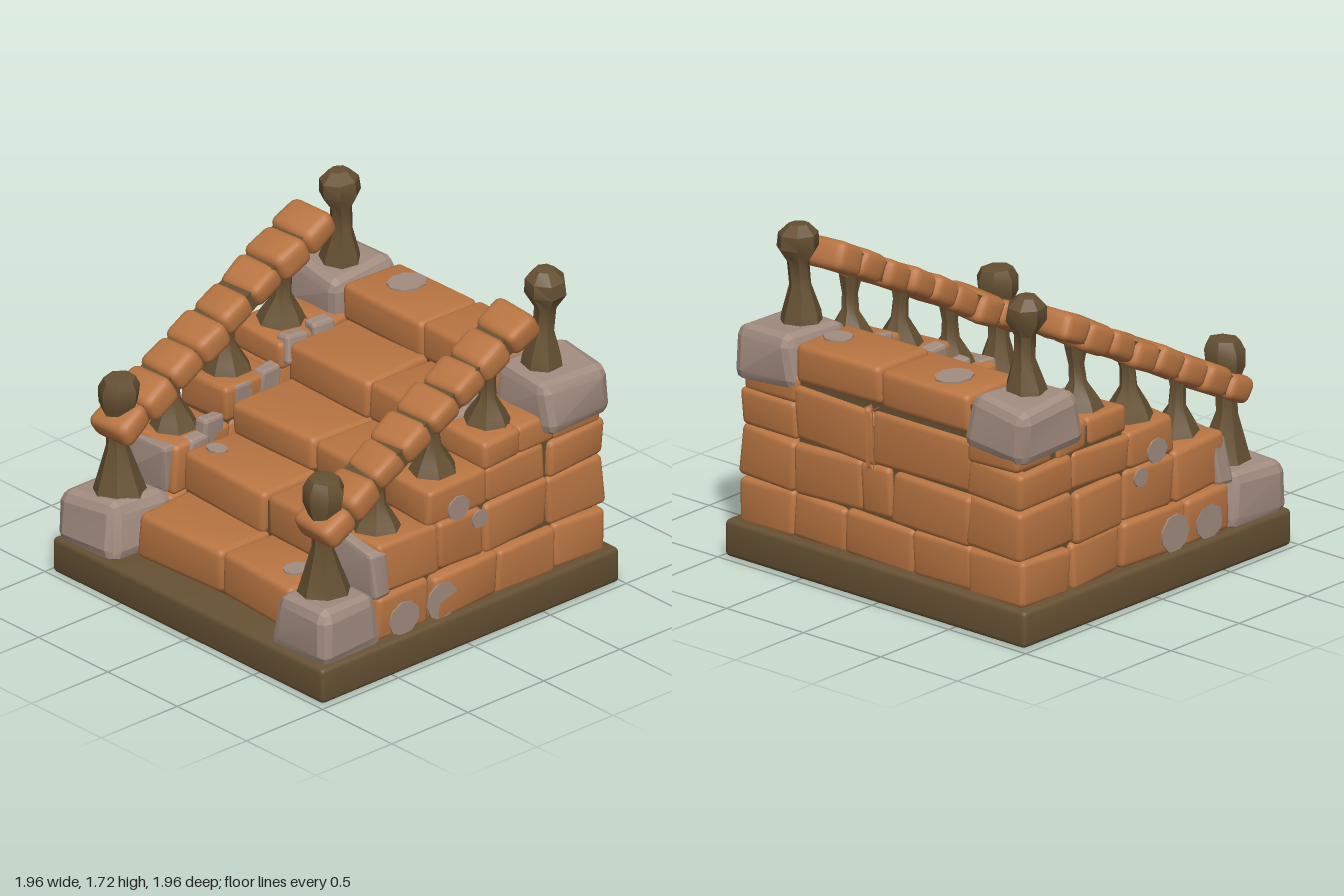
import * as THREE from 'three';
import { toCreasedNormals } from 'three/addons/utils/BufferGeometryUtils.js';
import { RoundedBoxGeometry } from 'three/addons/geometries/RoundedBoxGeometry.js';

export function createModel() {
  const model = new THREE.Group();
  model.name = 'stairway';

  const paint = (name, color) => {
    const m = new THREE.MeshStandardMaterial({ color });
    m.name = name;
    return m;
  };
  const wood = paint('orange wood', 0xb97542);
  const dark = paint('dark brown wood', 0x665133);
  const stone = paint('grey stone', 0xa28c80);

  // Seeded random numbers for hand-hewn irregularity
  let seed = 7;
  const rnd = () => (seed = (seed * 16807) % 2147483647) / 2147483647;
  const vary = (a) => (rnd() * 2 - 1) * a;

  // Bends a geometry gently with smooth waves
  function warp(geo, amount, freq = 7, crease = 0.5) {
    const g = geo.index ? geo.toNonIndexed() : geo;
    const p = g.attributes.position;
    const ph = rnd() * 20;
    for (let i = 0; i < p.count; i++) {
      const x = p.getX(i), y = p.getY(i), z = p.getZ(i);
      p.setXYZ(i,
        x + amount * Math.sin(freq * (y + z * 0.8) + ph),
        y + amount * Math.sin(freq * (x + z * 0.7) + ph * 2),
        z + amount * Math.sin(freq * (x * 0.9 + y) + ph * 3));
    }
    return toCreasedNormals(g, crease);
  }

  function add(name, geo, mat, x = 0, y = 0, z = 0, parent = model) {
    const m = new THREE.Mesh(geo, mat);
    m.name = name;
    m.position.set(x, y, z);
    parent.add(m);
    return m;
  }

  // Rounded block given by its extents
  function block(name, mat, x0, x1, y0, y1, z0, z1, r = 0.03, amount = 0.008) {
    const g = new RoundedBoxGeometry(x1 - x0, y1 - y0, z1 - z0, 2, r);
    return add(name, warp(g, amount, 7, 0.7), mat, (x0 + x1) / 2, (y0 + y1) / 2, (z0 + z1) / 2);
  }

  // Faceted boulder, tapering towards the top
  function boulder(name, x, y0, y1, z, w, d, taper) {
    const h = y1 - y0;
    const g = new RoundedBoxGeometry(w, h, d, 1, Math.min(w, h, d) * 0.2);
    const p = g.attributes.position;
    for (let i = 0; i < p.count; i++) {
      const k = 1 - taper * (p.getY(i) / h + 0.5);
      p.setX(i, p.getX(i) * k);
      p.setZ(i, p.getZ(i) * k);
    }
    add(name, warp(g, 0.015, 9, 0.25), stone, x, (y0 + y1) / 2, z);
  }

  // Thin irregular stone patch; axis is the direction it faces
  function patch(x, y, z, r, axis, stretch = 1) {
    const g = new THREE.CylinderGeometry(r, r, 0.009, 9);
    g.scale(1, 1, stretch);
    const m = add('stonePatch', g, stone, x, y, z);
    m.quaternion.setFromUnitVectors(new THREE.Vector3(0, 1, 0), axis);
  }

  // Turned post from radius/height pairs
  function post(name, pts, x, y, z) {
    const g = new THREE.LatheGeometry(pts.map(([r, h]) => new THREE.Vector2(r, h)), 7);
    add(name, warp(g, 0.008, 9, 0.6), dark, x, y, z).rotation.y = vary(1);
  }

  // Foundation
  block('foundation', dark, -0.975, 0.975, 0, 0.19, -0.98, 0.975, 0.025, 0.004);

  // Steps: front edge and top height of each, over a dark core
  const fronts = [0.8, 0.5, 0.18, -0.18, -0.55, -0.93];
  const tops = [0.42, 0.64, 0.81, 1.01, 1.2];
  let below = 0.18;
  tops.forEach((top, i) => {
    const back = i < 4 ? fronts[i + 1] - 0.06 : fronts[5];
    const seam = 0.02 + vary(0.03);
    block('stepBoard', wood, -0.56, seam, below, top, back, fronts[i], 0.035);
    block('stepBoard', wood, seam + 0.005, 0.56, below, top, back, fronts[i], 0.035);
    add('stepCore', new THREE.BoxGeometry(1.12, top - 0.22, fronts[i] + 0.87), dark,
      0, 0.17 + (top - 0.22) / 2, (fronts[i] - 0.03 - 0.9) / 2);
    below = top - 0.01;
  });

  // Back wall boards
  [[0.18, 0.42], [0.42, 0.69], [0.69, 0.97]].forEach(([y0, y1], i) => {
    const cuts = [-0.58, -0.2 + i * 0.14, 0.24 - i * 0.1, 0.58];
    for (let k = 0; k < 3; k++)
      block('backBoard', wood, cuts[k], cuts[k + 1] - 0.005, y0, y1 - 0.004, -0.935 + vary(0.01), -0.75);
  });

  // Side wall courses: bottom, top, front end, number of blocks
  const courses = [[0.18, 0.42, 0.57, 4], [0.42, 0.685, 0.56, 4], [0.685, 0.88, 0.22, 3], [0.87, 1.02, -0.13, 3]];
  for (const s of [1, -1]) {
    const span = (a, b) => (s > 0 ? [a, b] : [-b, -a]);
    courses.forEach(([y0, y1, front, n], c) => {
      const len = (front + 0.935) / n;
      let z0 = -0.935;
      for (let k = 0; k < n; k++) {
        const z1 = k === n - 1 ? front : -0.935 + len * (k + 1) + vary(0.06);
        const [a, b] = span(0.56, 0.93 - c * 0.008 + vary(0.012));
        block('sideBlock', wood, a, b, y0, y1, z0, z1 - 0.005, 0.03, 0.01);
        z0 = z1;
      }
      const core = new THREE.BoxGeometry(0.3, y1 - y0, front + 0.84);
      add('sideCore', core, dark, s * 0.735, (y0 + y1) / 2 - 0.03, (front - 0.92) / 2);
    });

    // Corner stones
    boulder('frontCornerStone', s * 0.76, 0.17, 0.46, 0.755, 0.43, 0.42, 0.14);
    boulder('backCornerStone', s * 0.755, 0.93, 1.21, -0.735, 0.4, 0.44, 0.06);
    boulder('wallEndStone', s * 0.745, 0.42, 0.68, 0.54, 0.34, 0.12, 0.05);

    // Small stones along the inner edge of the stairs
    [[0.63, 0.4], [0.7, 0.28], [0.84, 0.1], [0.86, -0.08], [1.0, -0.25], [1.02, -0.42]].forEach(([y, z]) =>
      boulder('edgeStone', s * (0.585 + vary(0.015)), y - 0.1, y + 0.05, z, 0.09, 0.15, 0.15));

    // Stones showing in the side wall
    const out = new THREE.Vector3(s, 0, 0);
    patch(s * 0.942, 0.27, 0.41, 0.09, out, 1.1);
    patch(s * 0.942, 0.28, 0.16, 0.1, out, 1.0);
    patch(s * 0.93, 0.74, 0.04, 0.065, out, 1.1);
    patch(s * 0.94, 0.64, -0.09, 0.05, out, 1);

    // Newel posts with knobs
    post('frontPost', [[0, 0], [0.14, 0], [0.12, 0.06], [0.055, 0.26], [0.055, 0.4],
      [0.1, 0.5], [0.105, 0.58], [0.08, 0.63], [0, 0.64]], s * 0.74, 0.44, 0.755);
    post('backPost', [[0, 0], [0.11, 0], [0.1, 0.06], [0.055, 0.2], [0.055, 0.32],
      [0.105, 0.4], [0.1, 0.47], [0.05, 0.52], [0, 0.525]], s * 0.735, 1.19, -0.7);

    // Balusters under the rail
    [[0.4, 0.67], [0.04, 0.87], [-0.32, 1.01]].forEach(([z, y]) =>
      post('baluster', [[0, 0], [0.13, 0], [0.1, 0.06], [0.045, 0.15], [0.04, 0.24], [0.06, 0.34], [0, 0.35]],
        s * 0.735, y, z));

    // Sloping handrail of short wooden sleeves on a dark core
    const rail = new THREE.Group();
    rail.name = 'handrail';
    rail.position.set(s * 0.735, 1.16, 0.145);
    rail.rotation.x = Math.atan2(0.74, 1.38);
    model.add(rail);
    add('railCore', new THREE.BoxGeometry(0.2, 0.1, 1.52), dark, 0, 0, 0, rail);
    for (let k = 0; k < 8; k++) {
      const g = new RoundedBoxGeometry(0.265 + vary(0.015), 0.145 + vary(0.01), 0.196, 2, 0.045);
      const m = add('railSleeve', warp(g, 0.006, 12, 0.6), wood, vary(0.006), vary(0.006), -0.686 + k * 0.196, rail);
      m.rotation.set(vary(0.03), vary(0.04), vary(0.05));
    }
  }

  // Stones showing in the step tops
  const up = new THREE.Vector3(0, 1, 0);
  patch(-0.34, 1.212, -0.78, 0.09, up, 1.2);
  patch(0.44, 1.212, -0.75, 0.075, up, 1);
  patch(-0.46, 0.651, 0.36, 0.06, up, 0.8);
  patch(0.43, 0.431, 0.65, 0.06, up, 1.2);

  return model;
}
